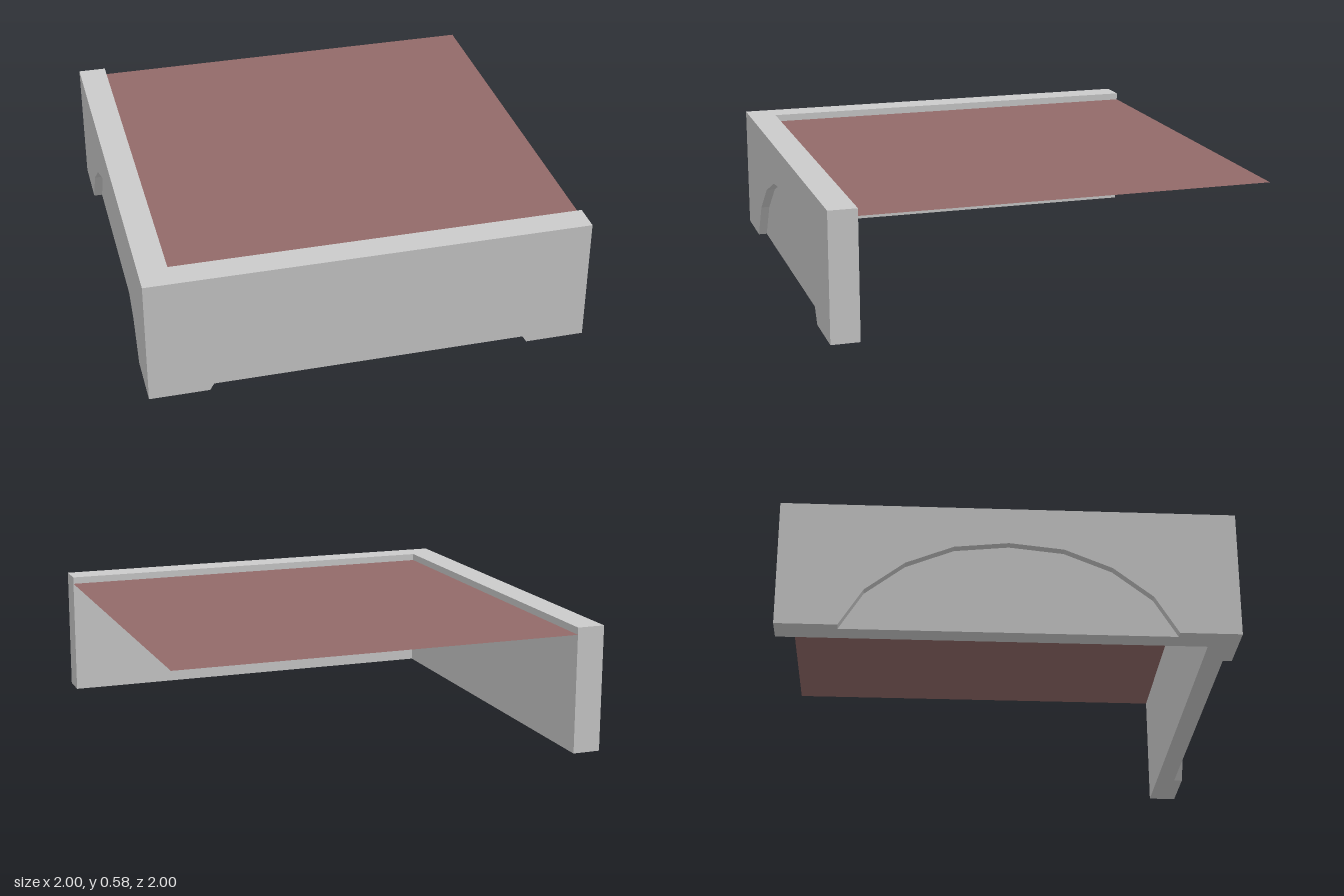
import * as THREE from 'three';

const HEIGHT = 0.585, INNER = 0.87, RECESS = 0.04;
const FACE = 1 - RECESS; // plane of the recessed arch surface

export function createModel() {
  const model = new THREE.Group();
  const grey = new THREE.MeshStandardMaterial({ color: 0xcccccc, flatShading: true });
  const add = (name, geometry, material = grey) => {
    const mesh = new THREE.Mesh(geometry, material);
    mesh.name = name;
    model.add(mesh);
    return mesh;
  };

  // L-shaped wall core, drawn in plan and raised
  const plan = new THREE.Shape([
    [-FACE, 1], [-FACE, -FACE], [1, -FACE], [1, -INNER], [-INNER, -INNER], [-INNER, 1],
  ].map(([x, y]) => new THREE.Vector2(x, y)));
  const core = new THREE.ExtrudeGeometry(plan, { depth: HEIGHT, bevelEnabled: false });
  add('wallCore', core.rotateX(-Math.PI / 2));

  // Outer wall facing with a shallow faceted arch cut from its lower edge
  const half = [[0.73, 0], [0.625, 0.17], [0.45, 0.305], [0.24, 0.39]];
  const arch = [
    ...half.map(([x, y]) => [-x, y]), [0, 0.415], ...half.slice().reverse(),
  ];
  const facing = (end) => {
    const outline = [[-1, 0], ...arch, [end, 0], [end, HEIGHT], [-1, HEIGHT]];
    const shape = new THREE.Shape(outline.map(([x, y]) => new THREE.Vector2(x, y)));
    return new THREE.ExtrudeGeometry(shape, { depth: RECESS, bevelEnabled: false })
      .translate(0, 0, FACE);
  };
  add('frontArchFacing', facing(1));
  add('sideArchFacing', facing(FACE).rotateY(-Math.PI / 2));

  // Thin deck just below the wall tops
  const size = 1 + INNER, offset = (1 - INNER) / 2;
  const deck = new THREE.PlaneGeometry(size, size).rotateX(-Math.PI / 2);
  add('deck', deck, new THREE.MeshStandardMaterial({ color: 0x936a69, side: THREE.DoubleSide }))
    .position.set(offset, 0.552, -offset);

  return model;
}
